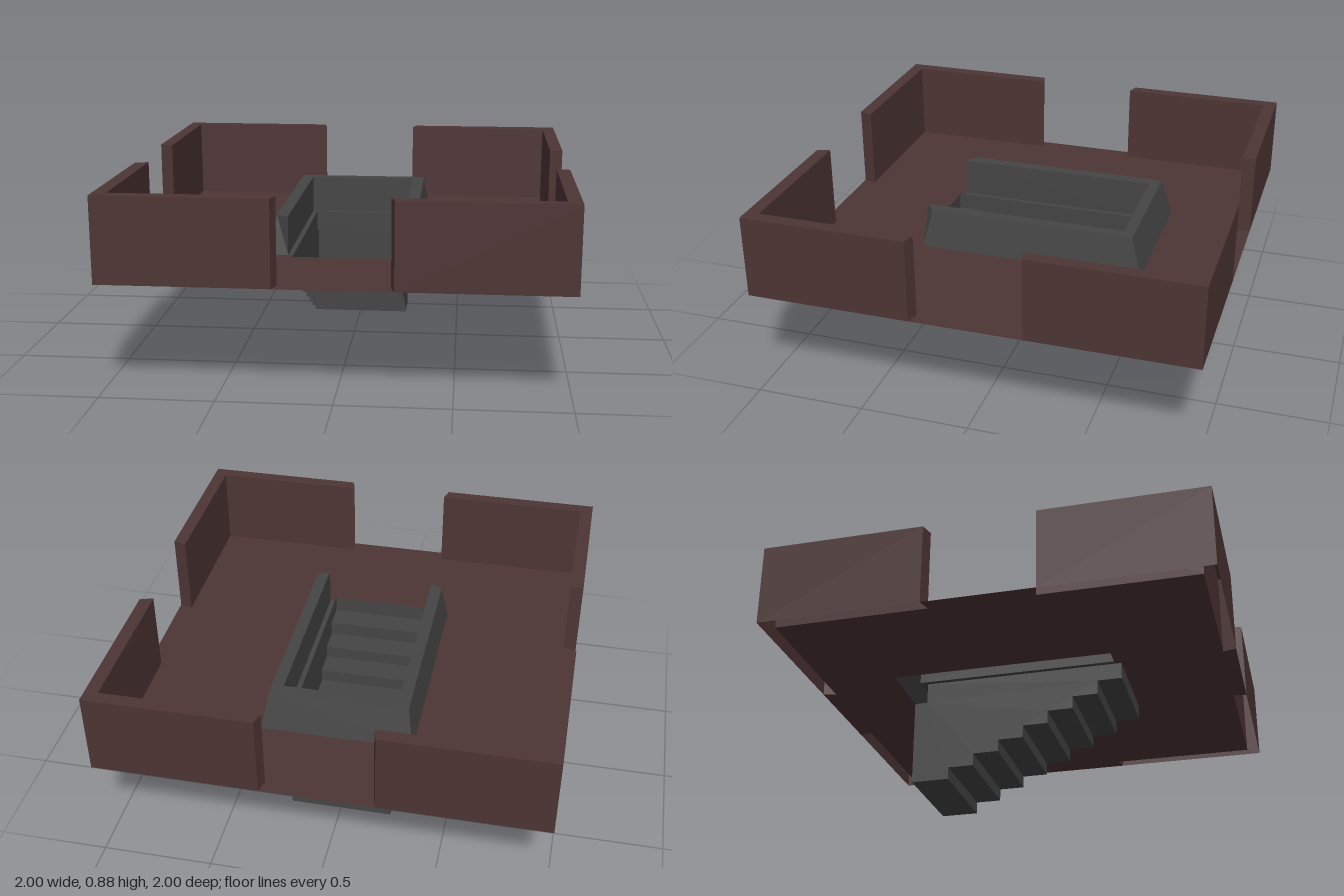
import * as THREE from 'three';

const GROUND = 0.497, WALL_TOP = 0.875, RAIL_TOP = 0.675;

// Flat-shaded surface from a list of convex polygons of [x, y, z] corners
function faces(polygons) {
  const pos = [];
  for (const p of polygons)
    for (let i = 1; i < p.length - 1; i++) pos.push(...p[0], ...p[i], ...p[i + 1]);
  const g = new THREE.BufferGeometry();
  g.setAttribute('position', new THREE.Float32BufferAttribute(pos, 3));
  g.computeVertexNormals();
  return g;
}

// Quads joining neighbouring points of two equal paths
function strip(a, b, closed = false) {
  const quads = [], n = a.length;
  for (let i = 0; i < (closed ? n : n - 1); i++) {
    const j = (i + 1) % n;
    quads.push([a[i], a[j], b[j], b[i]]);
  }
  return quads;
}

const shapeOf = pts => new THREE.Shape(pts.map(([x, y]) => new THREE.Vector2(x, y)));

// Flat sheet facing up, from [x, z] points
function sheet(pts, y, hole) {
  const flip = list => list.map(([x, z]) => [x, -z]);
  const shape = shapeOf(flip(pts));
  if (hole) shape.holes.push(shapeOf(flip(hole)));
  return new THREE.ShapeGeometry(shape).rotateX(-Math.PI / 2).translate(0, y, 0);
}

export function createModel() {
  const model = new THREE.Group();
  const brick = new THREE.MeshStandardMaterial({ color: 0x4e3535, side: THREE.DoubleSide });
  brick.name = 'dark red brick';
  const stone = new THREE.MeshStandardMaterial({ color: 0x454545, side: THREE.DoubleSide });
  stone.name = 'dark grey stone';
  const add = (name, geometry, material, parent = model) => {
    const m = new THREE.Mesh(geometry, material);
    m.name = name;
    parent.add(m);
    return m;
  };

  // Floor with a tab in each doorway and an opening for the stairwell
  const floor = [];
  for (let k = 0; k < 4; k++) {
    const c = [1, 0, -1, 0][k], s = [0, 1, 0, -1][k];
    for (const [x, z] of [[0.94, -0.94], [0.94, -0.237], [1, -0.253], [1, 0.253], [0.94, 0.237]])
      floor.push([x * c - z * s, x * s + z * c]);
  }
  const opening = [[-0.345, -0.6], [0.345, -0.6], [0.345, 0.44], [0.237, 0.44],
    [0.237, 0.47], [-0.237, 0.47], [-0.237, 0.44], [-0.345, 0.44]];
  add('floor', sheet(floor, GROUND, opening), brick);

  // Four hollow corner walls with splayed doorway ends, open underneath
  const corner = [[1, 1], [1, 0.253], [0.94, 0.237], [0.94, 0.94], [0.237, 0.94], [0.253, 1]];
  const at = (pts, y) => pts.map(([x, z]) => [x, y, z]);
  for (let k = 0; k < 4; k++) {
    const wall = new THREE.Group();
    wall.name = 'cornerWall';
    wall.rotation.y = k * Math.PI / 2;
    add('wallSides', faces(strip(at(corner, GROUND), at(corner, WALL_TOP), true)), brick, wall);
    add('wallTop', sheet(corner, WALL_TOP), brick, wall);
    model.add(wall);
  }

  // Three-sided parapet around the stairwell: sloped outside, upright inside
  const uPath = (x, y, back, front) =>
    [[-x, y, front], [-x, y, back], [x, y, back], [x, y, front]];
  const rings = [
    uPath(0.345, GROUND, -0.6, 0.44),
    uPath(0.315, RAIL_TOP, -0.55, 0.4),
    uPath(0.26, RAIL_TOP, -0.5, 0.44),
    uPath(0.26, GROUND, -0.5, 0.44),
    uPath(0.237, GROUND, -0.47, 0.44),
  ];
  const parapet = [];
  for (let i = 0; i < rings.length - 1; i++) parapet.push(...strip(rings[i], rings[i + 1]));
  parapet.push([3, 2, 1, 0].map(i => rings[i][0]), [0, 1, 2, 3].map(i => rings[i][3]));
  add('parapet', faces(parapet), stone);

  // Stair profile as [z, y]: steps down to the back, then a low alcove
  const edges = [0.47, 0.355, 0.237, 0.118, 0, -0.118, -0.237, -0.355, -0.53];
  const levels = [GROUND, 0.42, 0.353, 0.293, 0.231, 0.172, 0.115, 0.057, 0];
  const profile = [[edges[0], GROUND]];
  for (let i = 1; i < edges.length; i++)
    profile.push([edges[i - 1], levels[i]], [edges[i], levels[i]]);
  profile.push([-0.53, 0.4], [-0.47, 0.4], [-0.47, GROUND]);
  const side = x => profile.map(([z, y]) => [x, y, z]);
  add('stairs', faces(strip(side(-0.237), side(0.237))), stone);

  // Stairwell side walls
  for (const s of [-1, 1])
    add('stairwellSide', new THREE.ShapeGeometry(shapeOf(profile))
      .rotateY(-Math.PI / 2).translate(s * 0.237, 0, 0), stone);

  return model;
}
